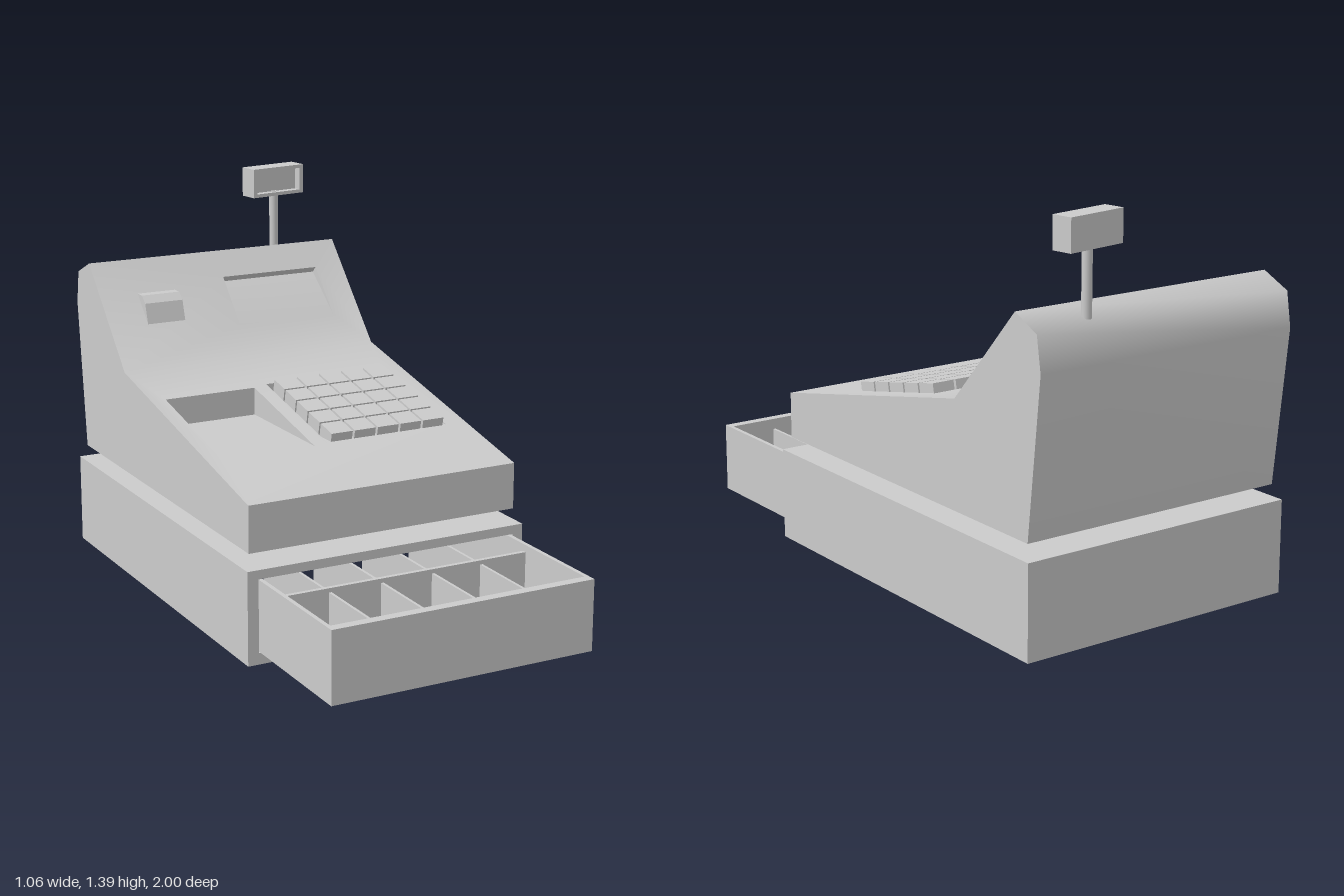
import * as THREE from 'three';
import { mergeGeometries, toCreasedNormals } from 'three/addons/utils/BufferGeometryUtils.js';

const solid = new THREE.MeshStandardMaterial({ color: 0xcccccc });
const sheet = new THREE.MeshStandardMaterial({ color: 0xcccccc, side: THREE.DoubleSide });

function add(parent, name, geometry, material, x = 0, y = 0, z = 0) {
  const mesh = new THREE.Mesh(geometry, material);
  mesh.name = name;
  mesh.position.set(x, y, z);
  parent.add(mesh);
  return mesh;
}

// Box given by its extents on each axis
function block(parent, name, x0, x1, y0, y1, z0, z1) {
  return add(parent, name, new THREE.BoxGeometry(x1 - x0, y1 - y0, z1 - z0), solid,
    (x0 + x1) / 2, (y0 + y1) / 2, (z0 + z1) / 2);
}

function rectangle(target, x0, x1, y0, y1) {
  target.moveTo(x0, y0);
  target.lineTo(x1, y0);
  target.lineTo(x1, y1);
  target.lineTo(x0, y1);
  target.closePath();
  return target;
}

// Flat panel spanning x0..x1 from profile point p to q ([z, y]); holes are [x0, x1, s0, s1], s running 0..1
function panel(p, q, x0, x1, holes = []) {
  const dz = q[0] - p[0], dy = q[1] - p[1], length = Math.hypot(dz, dy);
  const shape = rectangle(new THREE.Shape(), x0, x1, 0, length);
  for (const [a, b, s0, s1] of holes) {
    shape.holes.push(rectangle(new THREE.Path(), a, b, s0 * length, s1 * length));
  }
  const geometry = new THREE.ShapeGeometry(shape);
  const position = geometry.attributes.position;
  for (let i = 0; i < position.count; i++) {
    const s = position.getY(i) / length;
    position.setXYZ(i, position.getX(i), p[1] + s * dy, p[0] + s * dz);
  }
  return geometry;
}

// Upright side face at a given x, outlined by [z, y] points
function sideFace(points, x) {
  const shape = new THREE.Shape(points.map(([z, y]) => new THREE.Vector2(z, y)));
  return new THREE.ShapeGeometry(shape).rotateY(-Math.PI / 2).translate(x, 0, 0);
}

// Wedge-shaped recess: floor runs from the flush edge to the deep edge, then a wall returns to the surface
function recess(flush, deep, rim, x0, x1) {
  return [panel(flush, deep, x0, x1), panel(deep, rim, x0, x1),
    sideFace([flush, deep, rim], x0), sideFace([flush, deep, rim], x1)];
}

function shell(parts) {
  const plain = parts.map(part => part.toNonIndexed());
  return toCreasedNormals(mergeGeometries(plain), 1.0);
}

function createHousing(model) {
  const profile = [[0.47, 0.38], [0.47, 0.545], [-0.55, 0.755], [-0.87, 1.1],
    [-0.98, 1.05], [-1, 0.93], [-0.94, 0.38]];
  const w = 0.51;
  const deckY = z => 0.545 + (0.47 - z) * 0.21 / 1.02;
  const slopeY = z => 0.755 + (-0.55 - z) * 0.345 / 0.32;
  const onDeck = z => (0.47 - z) / 1.02;
  const onSlope = z => (-0.55 - z) / 0.32;
  const holes = {
    1: [[-0.455, -0.105, onDeck(0.16), onDeck(-0.31)], [-0.05, 0.43, onDeck(0.15), onDeck(-0.325)]],
    2: [[0, 0.395, onSlope(-0.645), onSlope(-0.79)]]
  };
  const parts = profile.map((p, i) => panel(p, profile[(i + 1) % profile.length], -w, w, holes[i]));
  parts.push(sideFace(profile, -w), sideFace(profile, w));
  // Tray, keypad well and screen
  parts.push(...recess([0.16, deckY(0.16)], [-0.31, 0.605], [-0.31, deckY(-0.31)], -0.455, -0.105));
  parts.push(...recess([0.15, deckY(0.15)], [-0.325, 0.61], [-0.325, deckY(-0.325)], -0.05, 0.43));
  parts.push(...recess([-0.645, slopeY(-0.645)], [-0.812, slopeY(-0.79) - 0.022],
    [-0.79, slopeY(-0.79)], 0, 0.395));
  add(model, 'housing', shell(parts), sheet);

  // Receipt hood on the sloping face
  const hood = new THREE.Shape([[-0.675, 0.885], [-0.7, 0.965], [-0.73, 0.99], [-0.775, 0.99]]
    .map(([z, y]) => new THREE.Vector2(-z, y)));
  const hoodGeometry = new THREE.ExtrudeGeometry(hood, { depth: 0.15, bevelEnabled: false });
  add(model, 'receiptHood', hoodGeometry.rotateY(Math.PI / 2), solid, -0.36);

  // Keys tilted with the deck
  const keypad = new THREE.Group();
  keypad.name = 'keypad';
  keypad.position.set(0.19, deckY(-0.075), -0.075);
  keypad.rotation.x = Math.atan2(0.21, 1.02);
  model.add(keypad);
  const key = new THREE.BoxGeometry(0.083, 0.06, 0.083);
  for (let row = -2; row <= 2; row++) {
    for (let column = -2; column <= 2; column++) {
      add(keypad, 'key', key, solid, column * 0.0915, 0, row * 0.092);
    }
  }
}

function createBase(model) {
  const profile = [[0.5, 0], [0.5, 0.33], [-0.97, 0.33], [-0.97, 0]];
  const w = 0.53, x = 0.49, low = 0.04, high = 0.298, back = 0.11;
  const tunnel = [[0.5, low], [0.5, high], [back, high], [back, low]];
  const parts = [
    panel(profile[0], profile[1], -w, w, [[-x, x, low / 0.33, high / 0.33]]),
    panel(profile[1], profile[2], -w, w),
    panel(profile[2], profile[3], -w, w),
    panel(tunnel[0], tunnel[3], -x, x),
    panel(tunnel[2], tunnel[1], -x, x)
  ];
  for (const side of [-1, 1]) parts.push(sideFace(profile, side * w), sideFace(tunnel, side * x));
  add(model, 'base', shell(parts), sheet);
}

function createDrawer(model) {
  const drawer = new THREE.Group();
  drawer.name = 'drawer';
  model.add(drawer);
  const x = 0.487, low = 0.043, high = 0.295, back = 0.13;
  block(drawer, 'drawerFloor', -x, x, 0.06, 0.07, back, 0.98);
  block(drawer, 'drawerFront', -x, x, low, high, 0.965, 1);
  for (const side of [-1, 1]) {
    const c = side * (x - 0.0075);
    block(drawer, 'drawerSide', c - 0.0075, c + 0.0075, low, high, back, 0.965);
  }
  block(drawer, 'crossWall', -x + 0.015, x - 0.015, low, 0.27, 0.597, 0.613);
  for (const c of [-0.285, -0.09, 0.105, 0.295]) {
    block(drawer, 'divider', c - 0.005, c + 0.005, low, 0.255, back, 0.965);
  }
}

function createCustomerDisplay(model) {
  add(model, 'displayPole', new THREE.CylinderGeometry(0.017, 0.017, 0.24, 16), solid, 0.29, 1.18, -0.94);
  const head = new THREE.Group();
  head.name = 'displayHead';
  head.position.set(0.29, 1.34, -0.943);
  head.rotation.y = 0.16;
  model.add(head);
  block(head, 'displayBack', -0.117, 0.117, -0.055, 0.055, -0.038, 0.008);
  const frame = rectangle(new THREE.Shape(), -0.117, 0.117, -0.055, 0.055);
  frame.holes.push(rectangle(new THREE.Path(), -0.1, 0.1, -0.042, 0.042));
  add(head, 'displayFrame', new THREE.ExtrudeGeometry(frame, { depth: 0.03, bevelEnabled: false }),
    solid, 0, 0, 0.008);
}

export function createModel() {
  const model = new THREE.Group();
  model.name = 'cashRegister';
  createHousing(model);
  createBase(model);
  createDrawer(model);
  createCustomerDisplay(model);
  return model;
}
